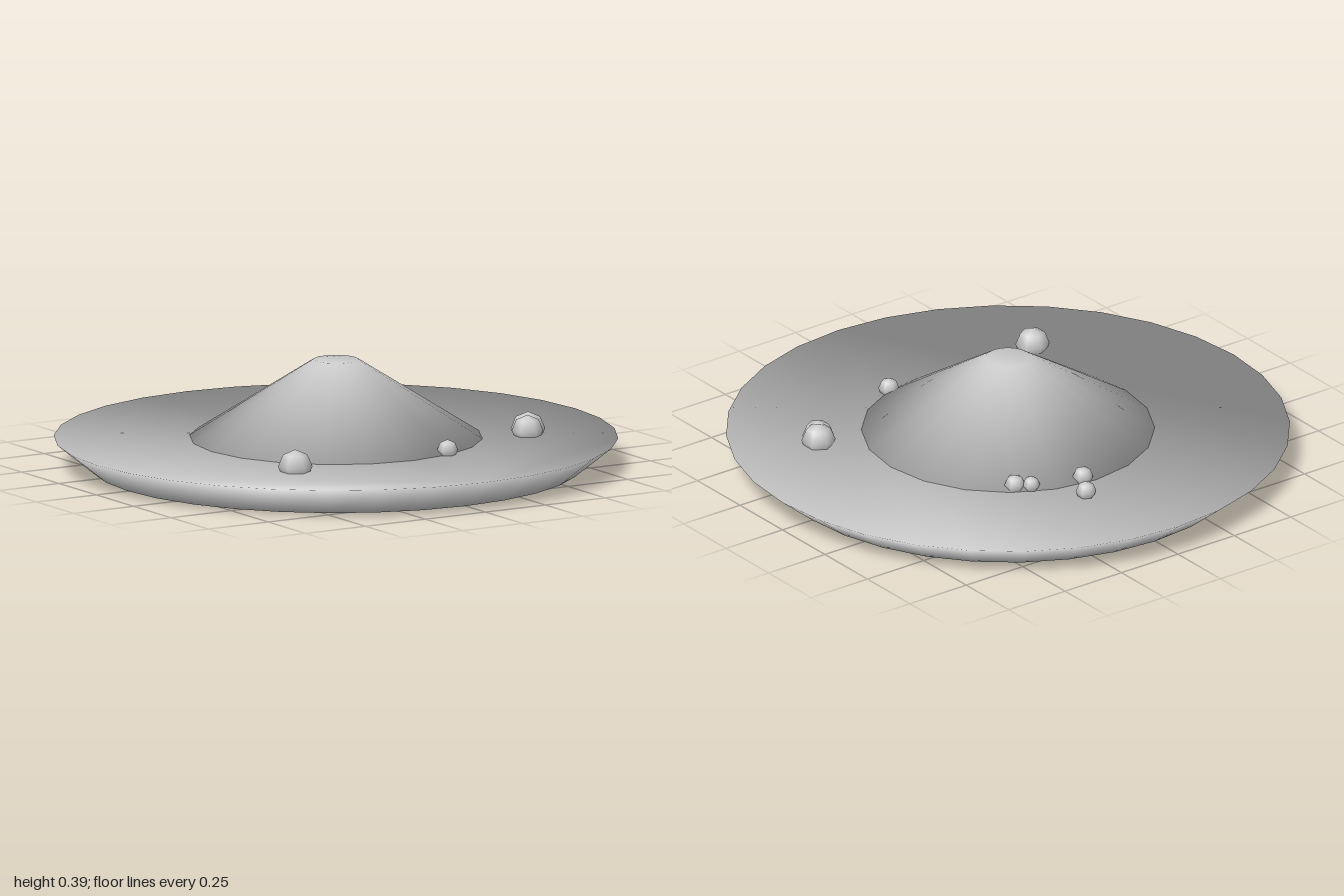
import * as THREE from 'three';

const grey = new THREE.MeshStandardMaterial({ color: 0xcccccc, side: THREE.DoubleSide });
const white = new THREE.MeshStandardMaterial({ color: 0xf1f2f4, side: THREE.DoubleSide });

const PLATE_TOP = 0.107;

// Closed frustum of two shared rings, its normals smoothed evenly between wall and caps
function smoothFrustum(rBottom, rTop, y0, y1, sides) {
  const positions = [], normals = [], index = [];
  const wall = new THREE.Vector2(y1 - y0, rBottom - rTop).normalize();
  for (const [r, y, up] of [[rBottom, y0, -1], [rTop, y1, 1]]) {
    const n = new THREE.Vector2(wall.x, wall.y + up).normalize();
    for (let i = 0; i < sides; i++) {
      const a = (i / sides) * Math.PI * 2;
      positions.push(r * Math.sin(a), y, r * Math.cos(a));
      normals.push(n.x * Math.sin(a), n.y, n.x * Math.cos(a));
    }
  }
  for (let i = 0; i < sides; i++) {
    const j = (i + 1) % sides;
    index.push(i, j, sides + j, i, sides + j, sides + i);
  }
  // Caps span the rim directly, without a centre point
  for (let i = 1; i < sides - 1; i++) {
    index.push(0, i + 1, i, sides, sides + i, sides + i + 1);
  }
  const geometry = new THREE.BufferGeometry();
  geometry.setAttribute('position', new THREE.Float32BufferAttribute(positions, 3));
  geometry.setAttribute('normal', new THREE.Float32BufferAttribute(normals, 3));
  geometry.setIndex(index);
  return geometry;
}

export function createModel() {
  const model = new THREE.Group();
  model.name = 'moundOnDisc';

  // Wide disc with an undercut edge
  const disc = new THREE.Mesh(smoothFrustum(0.868, 1, 0, PLATE_TOP, 32), grey);
  disc.name = 'disc';

  // Central mound, a blunt cone
  const mound = new THREE.Mesh(smoothFrustum(0.52, 0.08, PLATE_TOP, 0.387, 20), white);
  mound.name = 'mound';
  model.add(disc, mound);

  // Pebbles half sunk into the disc: x, z, radius
  const pebbles = new THREE.Group();
  pebbles.name = 'pebbles';
  const spots = [
    [0.107, -0.601, 0.037],
    [0.043, -0.498, 0.037],
    [0.23, -0.442, 0.031],
    [0.276, -0.406, 0.037],
    [0.612, 0.303, 0.061],
    [0.59, 0.335, 0.056],
    [-0.463, 0.47, 0.061],
    [0.16, 0.49, 0.037],
  ];
  const ball = new THREE.SphereGeometry(1, 6, 4).rotateY(Math.PI / 2);
  for (const [x, z, r] of spots) {
    const pebble = new THREE.Mesh(ball, white);
    pebble.name = 'pebble';
    pebble.position.set(x, 0.125, z);
    pebble.scale.setScalar(r);
    pebbles.add(pebble);
  }
  model.add(pebbles);

  return model;
}
